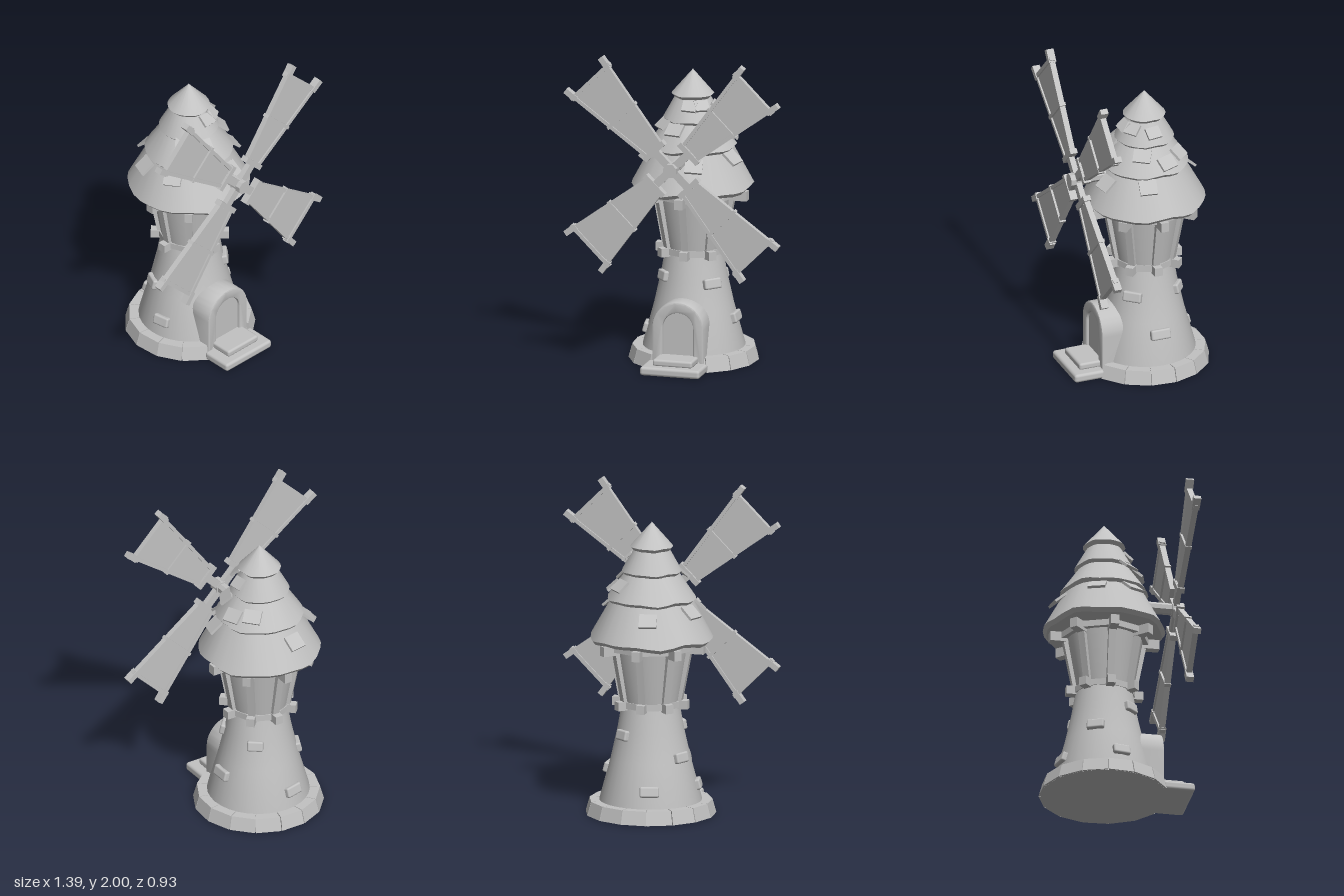
import * as THREE from 'three';
import { toCreasedNormals } from 'three/addons/utils/BufferGeometryUtils.js';
import { RoundedBoxGeometry } from 'three/addons/geometries/RoundedBoxGeometry.js';

const V2 = (x, y) => new THREE.Vector2(x, y);
const DEG = Math.PI / 180;

export function createModel() {
  const root = new THREE.Group();
  const grey = new THREE.MeshStandardMaterial({ color: 0xc2c2c2 });
  grey.name = 'plain grey';

  const add = (parent, name, geo, x = 0, y = 0, z = 0) => {
    const m = new THREE.Mesh(geo, grey);
    m.name = name;
    m.position.set(x, y, z);
    parent.add(m);
    return m;
  };
  const box = (w, h, d) => new THREE.BoxGeometry(w, h, d);
  const lathe = (pts, seg) =>
    toCreasedNormals(new THREE.LatheGeometry(pts.map(p => V2(p[0], p[1])), seg), 0.6);
  const prism = (rTop, rBottom, h, sides) => {
    const geo = new THREE.CylinderGeometry(rTop, rBottom, h, sides).toNonIndexed();
    geo.computeVertexNormals();
    return geo;
  };

  // everything round stands on these two axes
  const tower = new THREE.Group();
  tower.name = 'tower';
  tower.position.set(0.01, 0, -0.075);
  const roof = new THREE.Group();
  roof.name = 'roof';
  roof.position.set(0.002, 0, -0.077);
  root.add(tower, roof);

  // place a part at an angle around an axis; tilt leans it in or out
  const around = (parent, name, geo, angle, r, y, tilt = 0, roll = 0) => {
    const g = new THREE.Group();
    g.rotation.y = angle;
    parent.add(g);
    add(g, name, geo, 0, y, r).rotation.set(tilt, 0, roll);
  };

  // lower stone wall and flared upper storey
  const wall = [[0.325, 0.01], [0.318, 0.09], [0.248, 0.35], [0.206, 0.54], [0.18, 0.69]];
  add(tower, 'lowerWall', lathe([...wall, [0, 0.69]], 32));
  add(tower, 'upperWall', lathe([[0, 0.68], [0.174, 0.68], [0.243, 1.08], [0, 1.08]], 32));

  // foundation blocks, left open at the door, around a solid core
  const span = 306 * DEG / 13;
  for (let i = 0; i < 13; i++) {
    const geo = box(1, 1, 1), p = geo.attributes.position;
    for (let k = 0; k < p.count; k++) {
      const up = p.getY(k) > 0;
      const r = p.getZ(k) > 0 ? (up ? 0.382 : 0.406) : 0.27;
      const a = p.getX(k) * (span - 0.012);
      p.setXYZ(k, r * Math.sin(a), up ? 0.087 : 0.001, r * Math.cos(a));
    }
    geo.computeVertexNormals();
    around(tower, 'foundationBlock', geo, 27 * DEG + (i + 0.5) * span, 0, 0);
  }
  add(tower, 'foundationCore', prism(0.366, 0.39, 0.078, 32), 0, 0.039, 0);

  // single stones standing out of the wall: angle, height, width
  const stones = [[-49, 0.545, 0.1], [48, 0.515, 0.12], [-80, 0.19, 0.11], [90, 0.28, 0.13],
    [142, 0.515, 0.1], [-166, 0.19, 0.12], [-114, 0.38, 0.11]];
  for (const [a, y, w] of stones) {
    const i = wall.findIndex(p => p[1] > y), [r0, y0] = wall[i - 1], [r1, y1] = wall[i];
    const r = r0 + (r1 - r0) * (y - y0) / (y1 - y0);
    around(tower, 'wallStone', new RoundedBoxGeometry(w, 0.066, 0.045, 2, 0.012), a * DEG, r, y,
      -Math.atan2(r0 - r1, y1 - y0));
  }

  // timber rings, beam ends and slanted posts
  add(tower, 'lowerRing', prism(0.2, 0.2, 0.04, 8), 0, 0.7, 0);
  add(tower, 'upperRing', prism(0.285, 0.285, 0.04, 8), 0, 1.065, 0);
  for (let i = 0; i < 8; i++) {
    const a = i * 45 * DEG;
    around(tower, 'lowerBeamEnd', box(0.052, 0.055, 0.09), a, 0.197, 0.697);
    around(tower, 'upperBeamEnd', box(0.052, 0.062, 0.13), a, 0.28, 1.055);
    around(tower, 'slantedPost', box(0.045, 0.37, 0.04), a, 0.213, 0.885, 0.19);
  }

  // shaggy roof in four tiers: lower radius, lower height, upper radius, upper height
  const tiers = [[0.38, 1.1, 0.25, 1.36, 1], [0.274, 1.348, 0.155, 1.54, 0.7],
    [0.185, 1.518, 0.1, 1.69, 0.4], [0.132, 1.672, 0, 1.843, 0.25]];
  for (const [r, y, rt, yt, rough] of tiers) {
    const geo = new THREE.LatheGeometry(
      [V2(0, y + 0.01), V2(r - 0.022, y - 0.006), V2(r, y + 0.018), V2(rt, yt), V2(0, yt)], 30);
    const p = geo.attributes.position;
    for (let k = 0; k < p.count; k++) {
      if (p.getY(k) > y + 0.05 || Math.hypot(p.getX(k), p.getZ(k)) < 0.01) continue;
      const a = Math.atan2(p.getX(k), p.getZ(k));
      p.setY(k, p.getY(k) + rough * (0.008 * Math.sin(5 * a) + 0.007 * Math.sin(8 * a + 1)));
    }
    add(roof, 'roofTier', toCreasedNormals(geo, 0.7));
  }

  // loose shingles tucked under the tier above: x and z offset from the axis, tier
  const shingles = [[-0.06, -0.305, 0], [0.28, 0.085, 0], [0.09, 0.29, 0], [-0.26, 0.13, 0],
    [-0.28, -0.1, 0], [0.16, -0.165, 1], [0.235, -0.06, 1], [0.19, 0.09, 1], [-0.06, 0.2, 1],
    [-0.155, 0.12, 1], [0.02, 0.145, 2], [0.155, 0.0, 2], [0.09, 0.115, 2]];
  shingles.forEach(([x, z, t], i) => {
    const [r0, y0, r1, y1] = tiers[t], r = Math.hypot(x, z);
    const y = y0 + (y1 - y0) * (r0 - r) / (r0 - r1);
    around(roof, 'shingle', box(t === 2 ? 0.09 : 0.11, 0.1 - 0.012 * t, 0.016), Math.atan2(x, z),
      r, y + 0.04, -0.85, 0.1 * Math.sin(i * 2.4));
  });

  // arched doorway
  const arch = (r, spring, Type) => {
    const s = new Type();
    s.moveTo(-r, 0);
    s.lineTo(r, 0);
    s.lineTo(r, spring);
    s.absarc(0, spring, r, 0, Math.PI, false);
    s.lineTo(-r, 0);
    return s;
  };
  const frame = arch(0.155, 0.254, THREE.Shape);
  frame.holes.push(arch(0.108, 0.254, THREE.Path));
  add(root, 'doorFrame', toCreasedNormals(new THREE.ExtrudeGeometry(frame, {
    depth: 0.2, bevelSize: 0.011, bevelThickness: 0.011, bevelSegments: 2, curveSegments: 14,
  }), 0.5), 0.006, 0.012, 0.06);
  add(root, 'door', new THREE.ExtrudeGeometry(arch(0.105, 0.254, THREE.Shape), {
    depth: 0.2, bevelEnabled: false, curveSegments: 14 }), 0.006, 0.012, 0.054);

  // door steps
  add(root, 'lowerStep', new RoundedBoxGeometry(0.385, 0.055, 0.2, 2, 0.018), 0.008, 0.0275, 0.362);
  add(root, 'upperStep', new RoundedBoxGeometry(0.255, 0.045, 0.17, 2, 0.015), 0.01, 0.072, 0.322);

  // axle and hub
  const sails = new THREE.Group();
  sails.name = 'sails';
  sails.position.set(0, 1.31, 0.372);
  root.add(sails);
  const turn = [Math.PI / 2, Math.PI / 8, 0];
  add(sails, 'axle', prism(0.037, 0.037, 0.28, 8), 0, 0, -0.11).rotation.set(...turn);
  add(sails, 'hub', prism(0.045, 0.045, 0.078, 8), 0, 0, 0.012).rotation.set(...turn);

  // four sails, each built pointing up and then turned
  const inner = 0.157, outer = 0.742, halfIn = 0.058, halfOut = 0.15;
  const half = d => halfIn + (halfOut - halfIn) * (d - inner) / (outer - inner);
  const cloth = new THREE.Shape([V2(-halfIn, inner), V2(halfIn, inner), V2(halfOut, outer), V2(-halfOut, outer)]);
  const clothGeo = new THREE.ExtrudeGeometry(cloth, { depth: 0.016, bevelEnabled: false });
  const lean = Math.atan2(halfOut - halfIn, outer - inner);
  for (let i = 0; i < 4; i++) {
    const sail = new THREE.Group();
    sail.name = 'sail';
    sail.rotation.z = (45 + 90 * i) * DEG;
    sails.add(sail);
    add(sail, 'sailArm', box(0.05, 0.17, 0.036), 0, 0.09, 0);
    add(sail, 'cloth', clothGeo, 0, 0, -0.008);
    for (const side of [-1, 1]) {
      add(sail, 'sideRail', box(0.022, 0.62, 0.036), side * (halfIn + halfOut) / 2, (inner + outer) / 2, 0)
        .rotation.z = -side * lean;
      add(sail, 'railEnd', box(0.036, 0.085, 0.048), side * half(0.765), 0.765, 0)
        .rotation.z = -side * lean;
    }
    add(sail, 'innerBar', box(0.17, 0.034, 0.048), 0, inner, 0);
    add(sail, 'middleBar', box(2 * half(0.455) + 0.04, 0.02, 0.042), 0, 0.455, 0);
    add(sail, 'outerBar', box(2 * halfOut + 0.05, 0.024, 0.036), 0, outer, 0);
  }
  return root;
}
